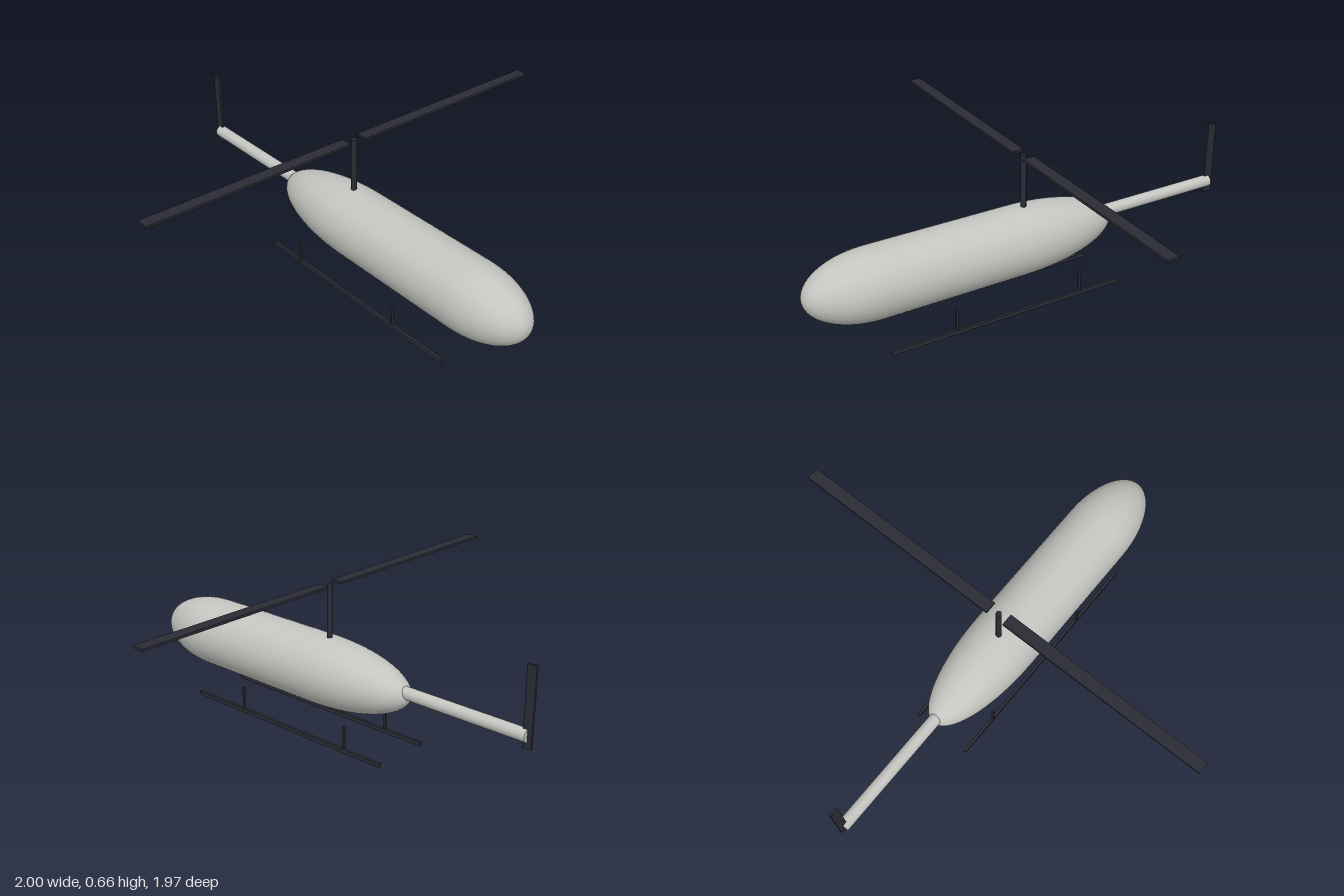
import * as THREE from 'three';

export function createModel() {
  const model = new THREE.Group();
  model.name = 'helicopter';

  const shell = new THREE.MeshStandardMaterial({ color: 0xc4c4c0 });
  shell.name = 'light grey shell';
  const dark = new THREE.MeshStandardMaterial({ color: 0x2b2b35 });
  dark.name = 'dark metal';

  const add = (name, geometry, material, x, y, z, parent = model) => {
    const mesh = new THREE.Mesh(geometry, material);
    mesh.name = name;
    mesh.position.set(x, y, z);
    parent.add(mesh);
    return mesh;
  };
  const box = (w, h, d) => new THREE.BoxGeometry(w, h, d);

  // Fuselage: long elliptical tail, straight middle, shorter elliptical nose
  const radius = 0.152, tailStart = 0.05, tailLength = 0.47, noseStart = 0.7, noseLength = 0.3;
  const profile = [];
  const steps = 20;
  for (let i = 0; i <= steps; i++) {
    const a = (i / steps) * Math.PI / 2;
    profile.push(new THREE.Vector2(radius * Math.sin(a), tailStart - tailLength * Math.cos(a)));
  }
  for (let i = 0; i <= steps; i++) {
    const a = (i / steps) * Math.PI / 2;
    profile.push(new THREE.Vector2(radius * Math.cos(a), noseStart + noseLength * Math.sin(a)));
  }
  add('fuselage', new THREE.LatheGeometry(profile, 48).rotateZ(-Math.PI / 2), shell, 0, 0.273, 0);

  // Tail boom and upright tail rotor
  add('tailBoom', new THREE.CylinderGeometry(0.027, 0.027, 0.6, 24).rotateZ(Math.PI / 2), shell, -0.68, 0.292, 0);
  add('tailRotor', box(0.04, 0.335, 0.01), dark, -0.98, 0.4075, 0);

  // Mast and two main blades with a gap at the hub
  add('mast', new THREE.CylinderGeometry(0.012, 0.012, 0.26, 16), dark, 0.01, 0.53, 0);
  for (const side of [1, -1]) {
    add('mainBlade', box(0.053, 0.01, 0.946), dark, 0.01, 0.656, side * 0.513);
  }

  // Landing gear: a runner and two struts on each side
  for (const side of [1, -1]) {
    const gear = new THREE.Group();
    gear.name = 'landingGear';
    model.add(gear);
    add('skid', box(1.085, 0.018, 0.013), dark, 0.157, 0.011, side * 0.131, gear);
    for (const x of [-0.19, 0.405]) {
      add('strut', box(0.01, 0.116, 0.01), dark, x, 0.062, side * 0.131, gear);
    }
  }
  return model;
}
